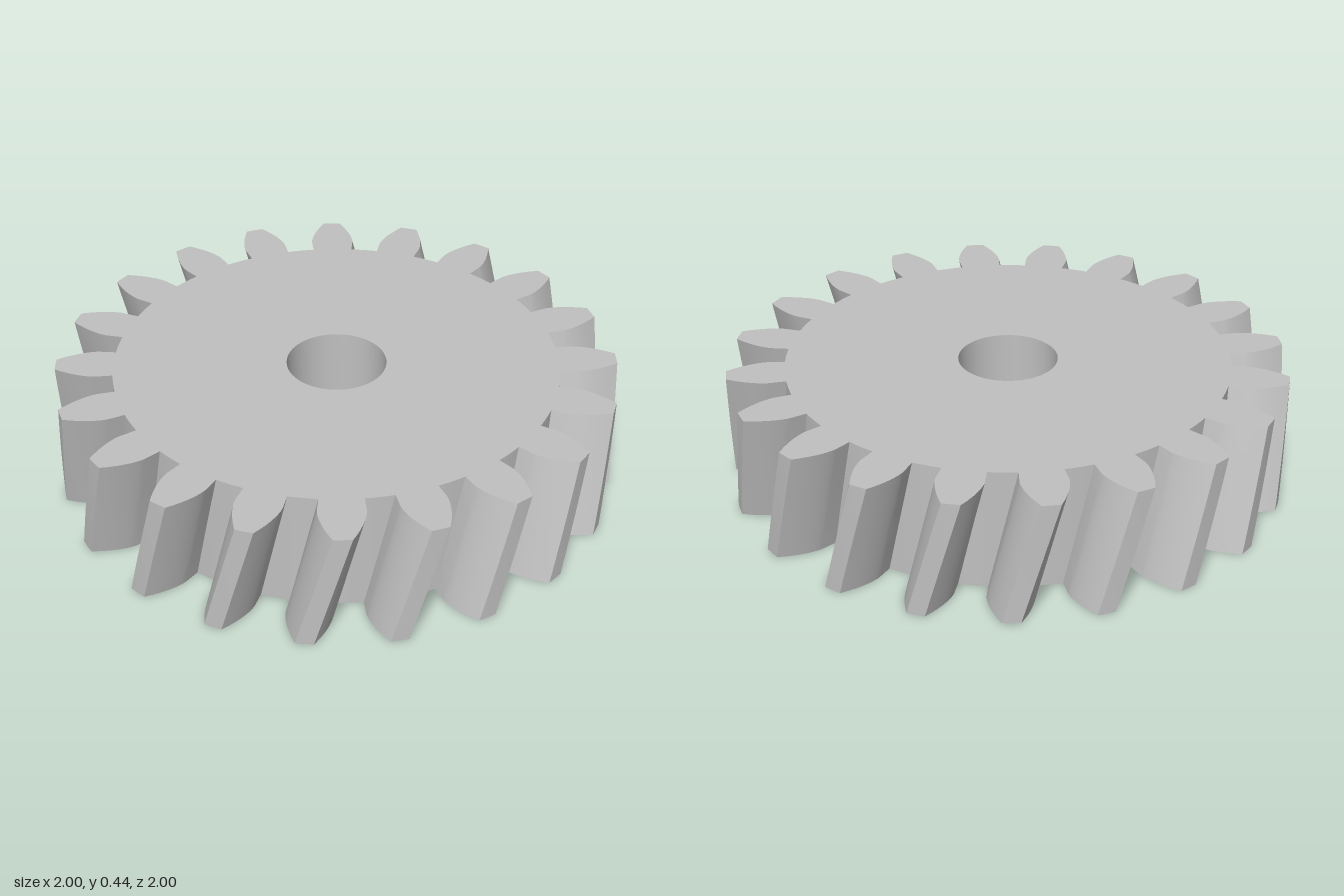
import * as THREE from 'three';
import { toCreasedNormals } from 'three/addons/utils/BufferGeometryUtils.js';

const TEETH = 20;
const TIP = 1, ROOT = 0.795, PITCH = TIP * TEETH / (TEETH + 2);
const BASE = PITCH * Math.cos(Math.PI / 9); // 20 degree pressure angle
const BORE = 0.178, HEIGHT = 0.44, TWIST = 0.125;

const involute = (a) => Math.tan(a) - a;

// Half the tooth's angular width at radius r: involute above the base circle, radial below
function halfAngle(r) {
  const a = r > BASE ? Math.acos(BASE / r) : 0;
  return Math.PI / (2 * TEETH) + involute(Math.PI / 9) - involute(a);
}

// Spur gear outline with a round bore
function gearShape() {
  const points = [];
  const add = (r, a) => points.push(new THREE.Vector2(r * Math.cos(a), r * Math.sin(a)));
  const radii = [ROOT];
  for (let i = 0; i <= 8; i++) radii.push(BASE + (TIP - BASE) * (i / 8) ** 1.5);
  const rootHalf = halfAngle(ROOT), step = 2 * Math.PI / TEETH;

  for (let t = 0; t < TEETH; t++) {
    const mid = t * step;
    radii.forEach((r) => add(r, mid - halfAngle(r)));                   // rising flank
    add(TIP, mid);                                                      // tip land
    [...radii].reverse().forEach((r) => add(r, mid + halfAngle(r)));    // falling flank
    for (let i = 1; i < 4; i++) add(ROOT, mid + rootHalf + (step - 2 * rootHalf) * i / 4); // root floor
  }
  const shape = new THREE.Shape(points);
  shape.holes.push(new THREE.Path().absarc(0, 0, BORE, 0, Math.PI * 2, true));
  return shape;
}

export function createModel() {
  const steel = new THREE.MeshStandardMaterial({ color: 0xc0c0c0 });
  steel.name = 'steel grey';

  const geometry = new THREE.ExtrudeGeometry(gearShape(), {
    depth: HEIGHT, steps: 10, bevelEnabled: false, curveSegments: 32,
  });

  // Helical teeth: turn each layer in proportion to its height
  const pos = geometry.attributes.position;
  const v = new THREE.Vector3(), axis = new THREE.Vector3(0, 0, 1);
  for (let i = 0; i < pos.count; i++) {
    v.fromBufferAttribute(pos, i);
    v.applyAxisAngle(axis, TWIST * v.z / HEIGHT);
    pos.setXYZ(i, v.x, v.y, v.z);
  }
  geometry.rotateX(-Math.PI / 2);

  const gear = new THREE.Mesh(toCreasedNormals(geometry, Math.PI / 6), steel);
  gear.name = 'helicalGear';
  const group = new THREE.Group();
  group.name = 'gear';
  group.add(gear);
  return group;
}
